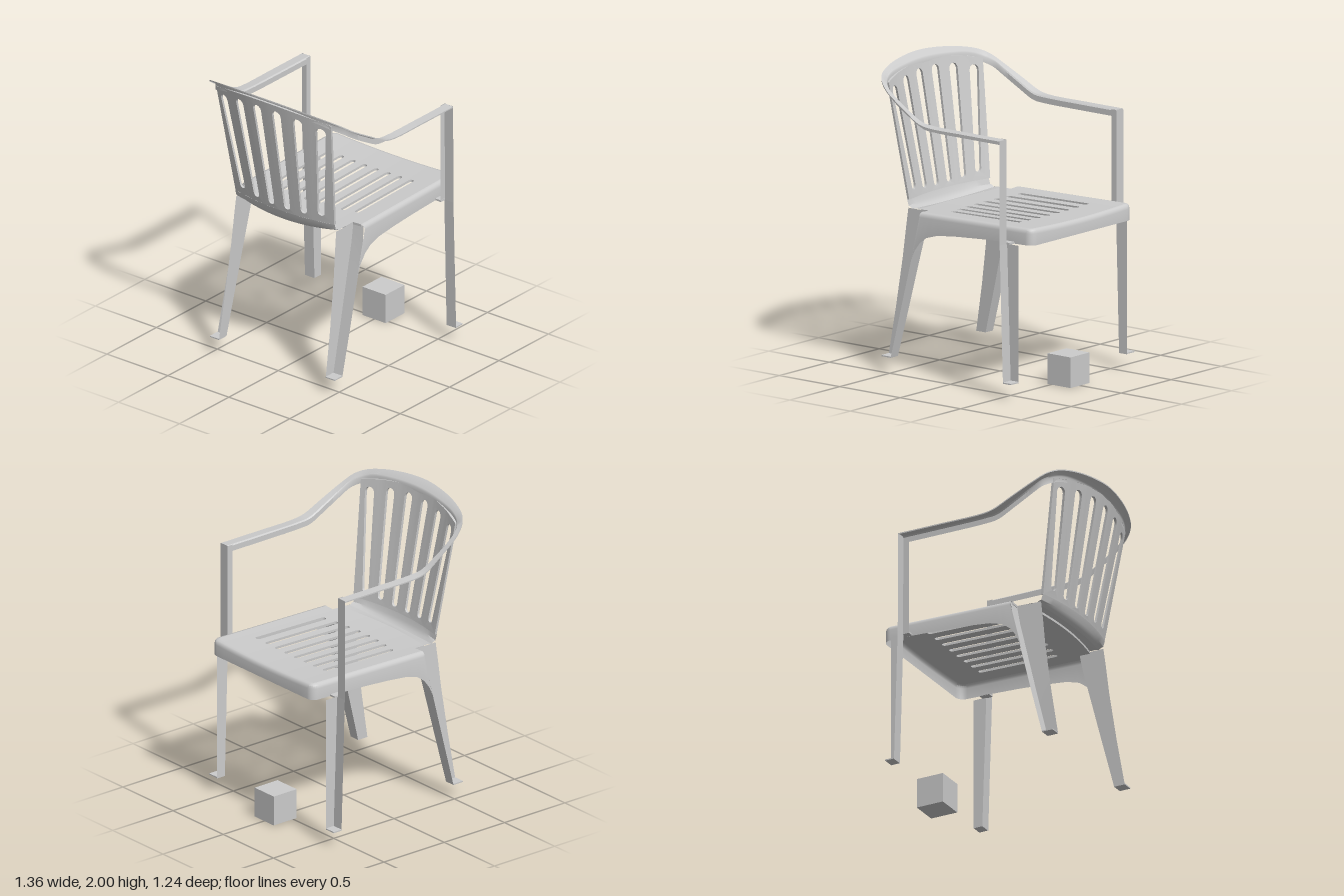
import * as THREE from 'three';
import { mergeGeometries, toCreasedNormals } from 'three/addons/utils/BufferGeometryUtils.js';

const material = new THREE.MeshStandardMaterial({ color: 0xcccccc, side: THREE.DoubleSide });

function add(group, name, geometry) {
  const mesh = new THREE.Mesh(toCreasedNormals(geometry, 0.6), material);
  mesh.name = name;
  group.add(mesh);
}

// Skin a surface through rows of [x, y, z] points
function loft(rows) {
  const n = rows[0].length, index = [];
  for (let r = 0; r < rows.length - 1; r++)
    for (let i = 0; i < n - 1; i++) {
      const a = r * n + i, b = a + n;
      index.push(a, a + 1, b, a + 1, b + 1, b);
    }
  const g = new THREE.BufferGeometry();
  g.setAttribute('position', new THREE.Float32BufferAttribute(rows.flat(2), 3));
  g.setIndex(index);
  g.computeVertexNormals();
  return g;
}

// Thin plate made of flat cells, each [outline, hole], then bent by a rule
function bentPlate(cells, rule) {
  const g = mergeGeometries(cells.map(([outline, hole]) => {
    const shape = new THREE.Shape(outline.map(p => new THREE.Vector2(...p)));
    if (hole) shape.holes.push(hole);
    return new THREE.ExtrudeGeometry(shape, { depth: 0.016, bevelEnabled: false });
  }));
  const p = g.attributes.position;
  for (let i = 0; i < p.count; i++) p.setXYZ(i, ...rule(p.getX(i), p.getY(i), p.getZ(i)));
  return g;
}

// Slot with round ends between two points, with a half width at each end
function slot(a, b, wa, wb) {
  const pts = [], dir = Math.atan2(b[1] - a[1], b[0] - a[0]);
  for (const [c, w, start] of [[a, wa, dir + Math.PI / 2], [b, wb, dir - Math.PI / 2]])
    for (let i = 0; i <= 6; i++) {
      const t = start + Math.PI * i / 6;
      pts.push(new THREE.Vector2(c[0] + w * Math.cos(t), c[1] + w * Math.sin(t)));
    }
  return new THREE.Path(pts);
}

// n + 1 values from a to b
const steps = (a, b, n) => Array.from({ length: n + 1 }, (_, i) => a + (b - a) * i / n);

// Height of the seat, rear face of the back, and the line where both meet
const seatY = (x, z) => 1.085 + 0.0225 * (x + 0.35) - 0.014 * Math.max(0, 1 - (z / 0.48) ** 2);
function backX(y, z) {
  const t = (y - 1.13) / 0.76;
  return -0.49 - 0.185 * (y - 1.17) + (0.05 + 0.025 * t) * (z / (0.405 + 0.065 * t)) ** 2;
}
const seatRear = z => backX(1.13, z) + 0.11;

// Side of the seat skirt: top x, bottom x, bottom y
const skirt = [[-0.25, -0.325, 0.75], [-0.235, -0.29, 0.83], [-0.21, -0.245, 0.89], [-0.17, -0.19, 0.93],
  [-0.1, -0.1, 0.957], [0.05, 0.05, 0.973], [0.25, 0.25, 0.987], [0.45, 0.45, 0.996]];
const slotPitch = 0.0955;

// Half of the U-shaped seat rim, from its rear end to the last slot cell: x, z, bottom x, bottom y
function rimCorner(inset) {
  const half = 0.506 - inset, r = 0.055 - inset;
  const pts = skirt.map(([x, bx, by]) => [x, half, bx, by]);
  for (const t of steps(Math.PI / 2, 0, 6)) {
    const x = 0.625 + r * Math.cos(t);
    pts.push([x, half - r + r * Math.sin(t), x, 1]);
  }
  return pts;
}

function rim(inset) {
  const corner = rimCorner(inset), x = 0.68 - inset;
  return [...corner, ...steps(4, -4, 8).map(k => [x, k * slotPitch, x, 1]),
    ...corner.reverse().map(([cx, z, bx, by]) => [cx, -z, bx, by])];
}

function buildSeat(group) {
  // Seat panel: one cell per slot, plus a plain cell along each side
  const cells = [];
  for (let i = 0; i < 8; i++) {
    const k = i - 3.5, z = k * slotPitch, zs = steps(z - slotPitch / 2, z + slotPitch / 2, 2);
    cells.push([[[0.65, zs[0]], [0.65, zs[2]], ...zs.reverse().map(v => [seatRear(v), v])],
      slot([-0.155 + 0.0038 * k * k, z], [0.43, z], 0.018, 0.018)]);
  }
  for (const s of [1, -1]) {
    const edge = 4 * slotPitch;
    cells.push([[...rimCorner(0.03), [0.65, edge], [seatRear(edge), edge], [seatRear(0.41), 0.41], [-0.25, 0.41]]
      .map(([x, z]) => [x, s * z])]);
  }
  add(group, 'seatPanel', bentPlate(cells, (x, z, d) => [x, seatY(x, z) - d, z]));

  // Rounded rim and skirt
  const rows = [[0.03, 0], [0.014, 0.004], [0.004, 0.014], [0, 0.032]].map(([inset, drop]) =>
    rim(inset).map(([x, z]) => [x, seatY(x, z) - drop, z]));
  rows.push(rim(0).map(([, z, bx, by]) => [bx, by, z]));
  add(group, 'seatSkirt', loft(rows));
}

function buildBackrest(group) {
  // Back panel: fanned slots, one cell each, leaning and curved across
  const border = (i, low) => Math.abs(i - 3) === 3 ? Math.sign(i - 3) * (low ? 0.405 : 0.47)
    : (i - 3) * (low ? 0.129 : 0.158);
  const cells = [];
  for (let i = 0; i < 6; i++) {
    const k = i - 2.5;
    const top = steps(border(i + 1, false), border(i, false), 6).map(z => [z, 1.95 - 0.06 * (z / 0.47) ** 2]);
    cells.push([[[border(i, true), 1.13], [border(i + 1, true), 1.13], ...top],
      slot([k * 0.129, 1.178 + 0.004 * k * k], [k * 0.158, 1.872 - 0.008 * k * k], 0.024, 0.034)]);
  }
  add(group, 'backPanel', bentPlate(cells, (z, y, d) => [backX(y, z) + d, y, z]));

  // Curved band joining back panel and seat
  const band = [[0, 1.13], [0.012, 1.09], [0.026, 1.062], [0.045, 1.05], [0.075, 1.056], [0.11, null]];
  add(group, 'backBand', loft(band.map(([dx, y]) => steps(-0.408, 0.408, 16).map(z => {
    const x = backX(1.13, z) + dx;
    return [x, y === null ? seatY(x, z) : y + (y < 1.08 ? 0.026 * (z / 0.41) ** 2 : 0), z];
  }))));
}

// One sweeping rail forms both arms and the top of the back
function buildRail(group) {
  const curve = half => {
    const mirrored = half.slice(0, -1).reverse().map(([x, y, z]) => [x, y, -z]);
    return new THREE.CatmullRomCurve3([...half, ...mirrored].map(p => new THREE.Vector3(...p)))
      .getPoints(120).map(p => p.toArray());
  };
  const outer = curve([[0.505, 1.68, 0.62], [0.2, 1.68, 0.62], [-0.1, 1.683, 0.618], [-0.18, 1.70, 0.612],
    [-0.3, 1.765, 0.598], [-0.45, 1.85, 0.575], [-0.53, 1.905, 0.54], [-0.58, 1.938, 0.483], [-0.625, 1.967, 0.37],
    [-0.662, 1.99, 0.2], [-0.68, 2, 0]]);
  const inner = curve([[0.505, 1.683, 0.55], [0.2, 1.683, 0.55], [-0.1, 1.686, 0.55], [-0.18, 1.695, 0.549],
    [-0.3, 1.755, 0.546], [-0.42, 1.825, 0.537], [-0.49, 1.872, 0.52], [-0.545, 1.908, 0.465],
    [-0.575, 1.935, 0.385], [-0.602, 1.955, 0.22], [-0.615, 1.965, 0]]);
  const lower = (rail, dy) => rail.map(([x, y, z]) => [x, y - dy, z]);
  const mix = outer.map((p, i) => p.map((v, k) => v * 0.12 + inner[i][k] * 0.88));
  add(group, 'armAndBackRail', loft([lower(outer, 0.008), outer, mix, lower(inner, 0.008), lower(inner, 0.045)]));
}

// Angle-section posts and legs for one side; s is the sign of z
function buildSide(group, s) {
  const angle = (name, levels) => add(group, name,
    loft(levels.map(([y, corner, end, zIn, zOut]) =>
      [[end, y, s * zIn], [corner, y, s * zIn], [corner, y, s * zOut]])));
  const box = (name, w, h, d, x, y, z) =>
    add(group, name, new THREE.BoxGeometry(w, h, d).translate(x, y, s * z));

  angle('armPost', [[1.682, 0.505, 0.465, 0.55, 0.62], [1.0, 0.508, 0.465, 0.55, 0.62]]);
  angle('frontLeg', [[1.0, 0.508, 0.6, 0.545, 0.62], [0.1, 0.535, 0.6, 0.542, 0.62]]);
  box('frontFoot', 0.065, 0.008, 0.078, 0.5675, 0.106, 0.581);
  box('armPostBracket', 0.07, 0.012, 0.05, 0.5, 1.004, 0.527);

  angle('backLeg', [[0.105, -0.483, -0.56, 0.438, 0.512], [0.43, -0.4, -0.505, 0.43, 0.511],
    [0.76, -0.318, -0.457, 0.42, 0.508], [0.95, -0.27, -0.436, 0.414, 0.505], [1.078, -0.245, -0.42, 0.41, 0.495]]);
  box('backFoot', 0.077, 0.008, 0.074, -0.5215, 0.109, 0.475);
}

export function createModel() {
  const model = new THREE.Group();
  model.name = 'model';
  const chair = new THREE.Group();
  chair.name = 'chair';
  model.add(chair);
  buildSeat(chair);
  buildBackrest(chair);
  buildRail(chair);
  for (const s of [1, -1]) buildSide(chair, s);

  // Loose cube standing in front of the chair
  add(model, 'cube', new THREE.BoxGeometry(0.19, 0.2, 0.19).translate(0.565, 0.1, 0));
  return model;
}
